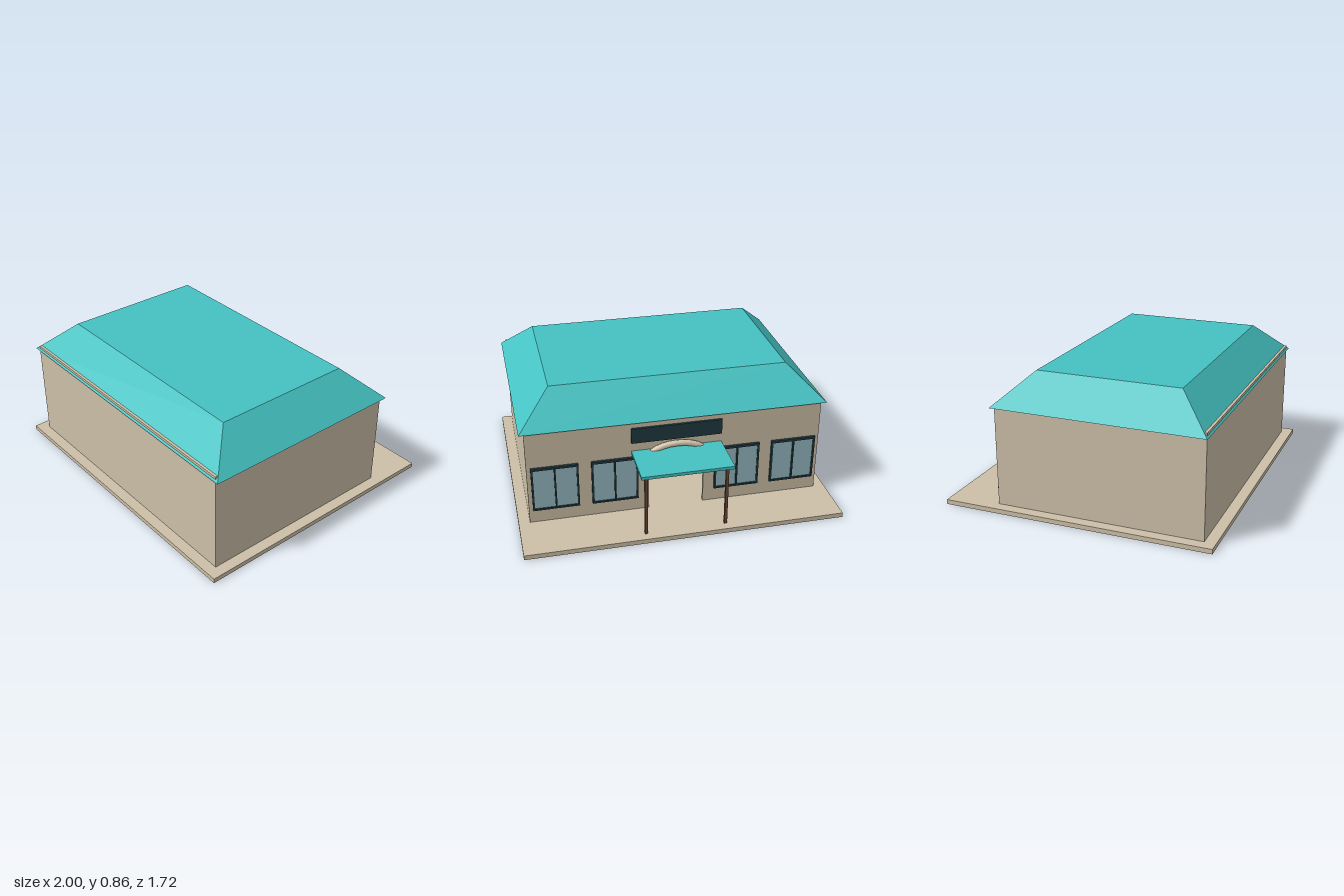
import * as THREE from 'three';

const paint = (name, color) => {
  const m = new THREE.MeshStandardMaterial({ color });
  m.name = name;
  return m;
};

export function createModel() {
  const group = new THREE.Group();
  const stone = paint('stone', 0xcdc0a8);
  const teal = paint('teal', 0x45c2c2);
  const dark = paint('darkFrame', 0x213a40);
  const glassBlue = paint('glass', 0x96bac1);
  const brown = paint('brown', 0x6b4732);
  const cream = paint('cream', 0xdccdb2);

  const add = (parent, name, geometry, material) => {
    const mesh = new THREE.Mesh(geometry, material);
    mesh.name = name;
    parent.add(mesh);
    return mesh;
  };
  // Box given by its extents along each axis
  const block = (parent, name, material, [x0, x1], [y0, y1], [z0, z1]) => {
    const g = new THREE.BoxGeometry(x1 - x0, y1 - y0, z1 - z0);
    g.translate((x0 + x1) / 2, (y0 + y1) / 2, (z0 + z1) / 2);
    return add(parent, name, g, material);
  };

  // Ground slab
  block(group, 'slab', stone, [-1, 1], [0, 0.03], [-0.86, 0.86]);

  // Hollow walls; the front wall breaks slightly through the roof slope
  block(group, 'frontWall', stone, [-0.93, 0.93], [0.03, 0.686], [0.77, 0.79]);
  for (const s of [-1, 1]) {
    block(group, 'sideWall', stone, [s * 0.92 - 0.01, s * 0.92 + 0.01], [0.03, 0.675], [-0.51, 0.77]);
  }

  // Back wall with an open doorway
  const wall = new THREE.Shape([
    [-0.93, 0.03], [-0.175, 0.03], [-0.175, 0.41], [0.175, 0.41],
    [0.175, 0.03], [0.93, 0.03], [0.93, 0.672], [-0.93, 0.672],
  ].map(([x, y]) => new THREE.Vector2(x, y)));
  const wallGeometry = new THREE.ExtrudeGeometry(wall, { depth: 0.02, bevelEnabled: false });
  wallGeometry.translate(0, 0, -0.53);
  add(group, 'backWall', wallGeometry, stone);

  // Flat-topped hip roof: a box whose top corners are drawn inward
  const roof = new THREE.BoxGeometry(1.92, 0.2, 1.35);
  const p = roof.attributes.position;
  for (let i = 0; i < p.count; i++) {
    if (p.getY(i) > 0) {
      p.setX(i, Math.sign(p.getX(i)) * 0.75);
      p.setZ(i, Math.sign(p.getZ(i)) * 0.459);
    }
  }
  roof.translate(0, 0.76, 0.126);
  roof.computeVertexNormals();
  add(group, 'roof', roof, teal);

  // Windows: frame with two panes, mullion, head and sill
  for (const x of [-0.76, -0.39, 0.39, 0.76]) {
    const win = new THREE.Group();
    win.name = 'window';
    win.position.x = x;
    group.add(win);
    block(win, 'glass', glassBlue, [-0.14, 0.14], [0.125, 0.415], [-0.538, -0.53]);
    for (const s of [-1, 1]) {
      block(win, 'frameSide', dark, [s * 0.139 - 0.006, s * 0.139 + 0.006], [0.12, 0.42], [-0.545, -0.53]);
    }
    block(win, 'frameHead', dark, [-0.145, 0.145], [0.404, 0.42], [-0.546, -0.53]);
    block(win, 'frameSill', dark, [-0.145, 0.145], [0.12, 0.132], [-0.546, -0.53]);
    block(win, 'mullion', dark, [-0.005, 0.005], [0.13, 0.41], [-0.55, -0.53]);
  }

  // Blank sign panel over the entrance
  block(group, 'signPanel', dark, [-0.285, 0.285], [0.52, 0.62], [-0.545, -0.53]);

  // Entrance canopy on two posts
  block(group, 'canopy', teal, [-0.285, 0.285], [0.44, 0.46], [-0.835, -0.53]);
  for (const x of [-0.25, 0.25]) {
    block(group, 'canopyPost', brown, [x - 0.009, x + 0.009], [0.03, 0.43], [-0.804, -0.786]);
  }

  // Low moulded arch above the doorway
  const points = [];
  for (let i = 0; i <= 10; i++) {
    const a = (i / 10) * Math.PI;
    points.push(new THREE.Vector3(0.185 * Math.cos(a), 0.4 + 0.09 * Math.sin(a), -0.545));
  }
  add(group, 'doorArch', new THREE.TubeGeometry(new THREE.CatmullRomCurve3(points), 10, 0.02, 8), cream);
  for (const x of [-0.185, 0.185]) {
    const cap = new THREE.CircleGeometry(0.02, 8);
    cap.rotateX(Math.PI / 2);
    cap.translate(x, 0.4, -0.545);
    add(group, 'archEnd', cap, cream);
  }

  return group;
}
